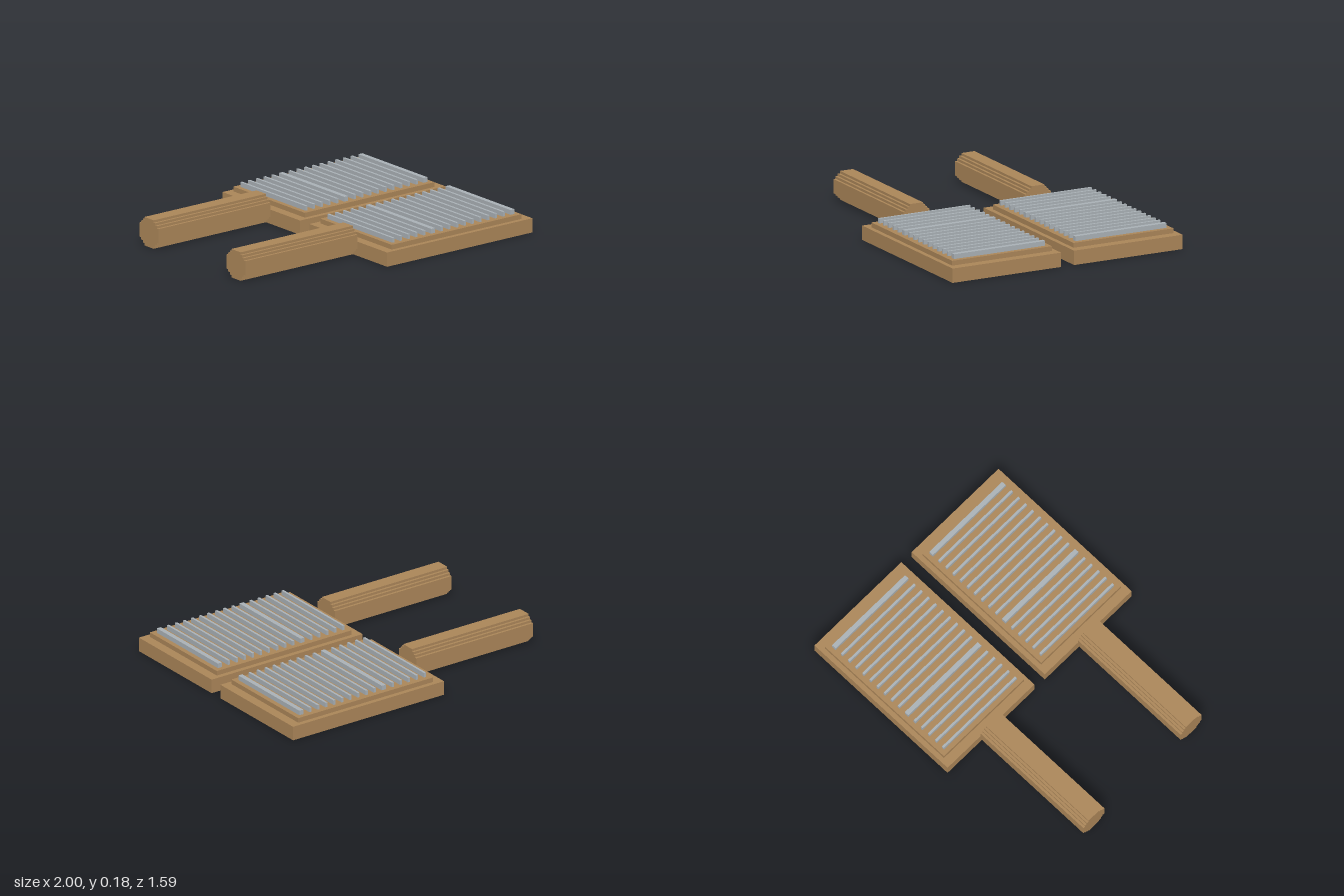
import * as THREE from 'three';

// one grid step; the whole model is 133 steps long
const U = 2 / 133;

const wood = new THREE.MeshStandardMaterial({ color: 0xaa8558 });
wood.name = 'wood';
const steel = new THREE.MeshStandardMaterial({ color: 0xa9b0b5 });
steel.name = 'steel';

// box from min/max corners in grid steps (x measured from the handle end)
function block(name, mat, x0, x1, y0, y1, z0, z1) {
  const mesh = new THREE.Mesh(new THREE.BoxGeometry((x1 - x0) * U, (y1 - y0) * U, (z1 - z0) * U), mat);
  mesh.position.set((x0 + x1) * U / 2 - 1, (y0 + y1) * U / 2, (z0 + z1) * U / 2);
  mesh.name = name;
  return mesh;
}

// bar with stepped, roughly octagonal section
function handle(z) {
  const corner = [[6, 3], [5, 3], [5, 4], [4, 4], [4, 5], [3, 5], [3, 6]];
  const pts = [];
  for (const [sx, sy] of [[1, 1], [-1, 1], [-1, -1], [1, -1]]) {
    const part = corner.map(([x, y]) => new THREE.Vector2(x * sx * U, y * sy * U));
    pts.push(...(sx * sy > 0 ? part : part.reverse()));
  }
  const geo = new THREE.ExtrudeGeometry(new THREE.Shape(pts), { depth: 58 * U, bevelEnabled: false });
  geo.rotateY(Math.PI / 2);
  const mesh = new THREE.Mesh(geo, wood);
  mesh.position.set(-1, 6 * U, z * U);
  mesh.name = 'handle';
  return mesh;
}

function paddle(name, z) {
  const g = new THREE.Group();
  g.name = name;
  g.add(handle(z));
  g.add(block('basePlate', wood, 58, 133, 0, 6, z - 25, z + 25));
  g.add(block('raisedPad', wood, 62, 129, 6, 8, z - 23, z + 23));

  // rows of narrow blades, each run closed by a wide one
  const blades = new THREE.Group();
  blades.name = 'blades';
  for (const [start, count] of [[64, 5], [89, 9]]) {
    for (let i = 0; i <= count; i++) {
      const x = start + i * 4;
      const wide = i === count;
      blades.add(block(wide ? 'wideBlade' : 'blade', steel, x, x + (wide ? 2 : 1), 8, 10, z - 21, z + 21));
    }
  }
  g.add(blades);
  return g;
}

export function createModel() {
  const model = new THREE.Group();
  model.name = 'pairOfCardingPaddles';
  model.add(paddle('frontPaddle', 28), paddle('backPaddle', -28));
  return model;
}
